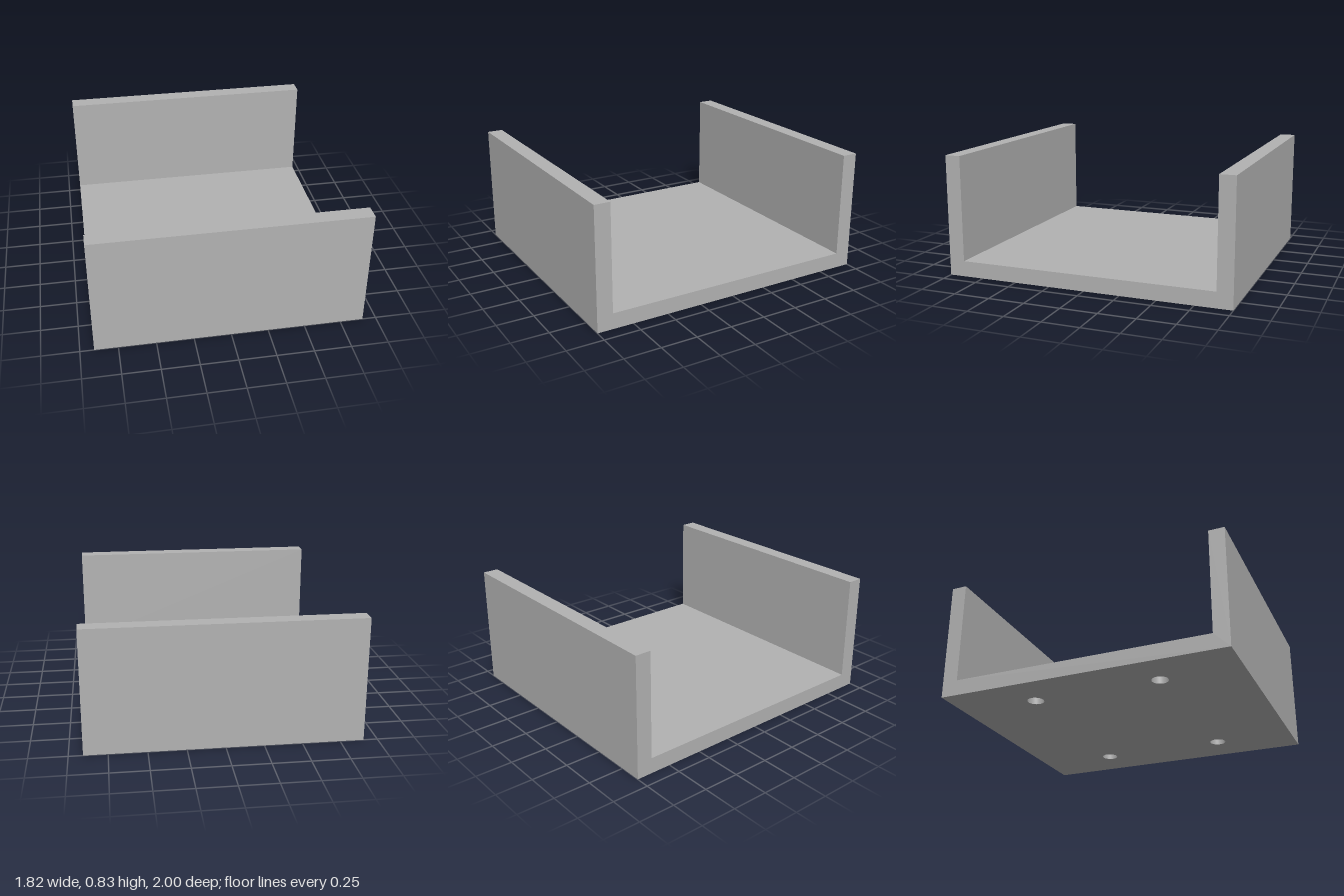
import * as THREE from 'three';
import { mergeGeometries, toCreasedNormals } from 'three/addons/utils/BufferGeometryUtils.js';

const W = 1.815, H = 0.835, T = 0.108; // width (x), wall height, wall thickness
const HOLE = { x: 0.617, z: 0.447, r: 0.057, depth: 0.085 };

// Drops the triangles lying in the plane y = 0
function withoutUnderside(geometry) {
  const g = geometry.index ? geometry.toNonIndexed() : geometry;
  const p = g.attributes.position, keep = [];
  for (let i = 0; i < p.count; i += 3) {
    const flat = [0, 1, 2].every(k => Math.abs(p.getY(i + k)) < 1e-5);
    if (!flat) keep.push(i, i + 1, i + 2);
  }
  g.setIndex(keep);
  const out = g.toNonIndexed();
  out.clearGroups();
  return out;
}

export function createModel() {
  const group = new THREE.Group();
  group.name = 'channelBracket';
  const grey = new THREE.MeshStandardMaterial({ color: 0xb2b2b2 });
  grey.name = 'grey';

  // U-shaped channel swept along x
  const profile = new THREE.Shape([
    [-1, 0], [1, 0], [1, H], [1 - T, H], [1 - T, T], [T - 1, T], [T - 1, H], [-1, H],
  ].map(([z, y]) => new THREE.Vector2(z, y)));
  const sweep = new THREE.ExtrudeGeometry(profile, { depth: W, bevelEnabled: false });
  sweep.translate(0, 0, -W / 2).rotateY(Math.PI / 2);

  // Underside with four round openings
  const base = new THREE.Shape([
    [-W / 2, -1], [W / 2, -1], [W / 2, 1], [-W / 2, 1],
  ].map(([x, z]) => new THREE.Vector2(x, z)));
  const centres = [];
  for (const sx of [-1, 1]) for (const sz of [-1, 1]) centres.push([sx * HOLE.x, sz * HOLE.z]);
  for (const [x, z] of centres) {
    base.holes.push(new THREE.Path().absarc(x, z, HOLE.r, 0, Math.PI * 2, true));
  }
  const underside = new THREE.ShapeGeometry(base, 16).rotateX(Math.PI / 2).toNonIndexed();

  const channel = new THREE.Mesh(mergeGeometries([withoutUnderside(sweep), underside]), grey);
  channel.name = 'channel';
  group.add(channel);

  // Blind screw holes: inward-facing wall and ceiling
  const pocket = toCreasedNormals(new THREE.LatheGeometry([
    new THREE.Vector2(0, HOLE.depth),
    new THREE.Vector2(HOLE.r, HOLE.depth),
    new THREE.Vector2(HOLE.r, 0),
  ], 32), 0.6);
  for (const [x, z] of centres) {
    const hole = new THREE.Mesh(pocket, grey);
    hole.name = 'screwHole';
    hole.position.set(x, 0, z);
    group.add(hole);
  }
  return group;
}
